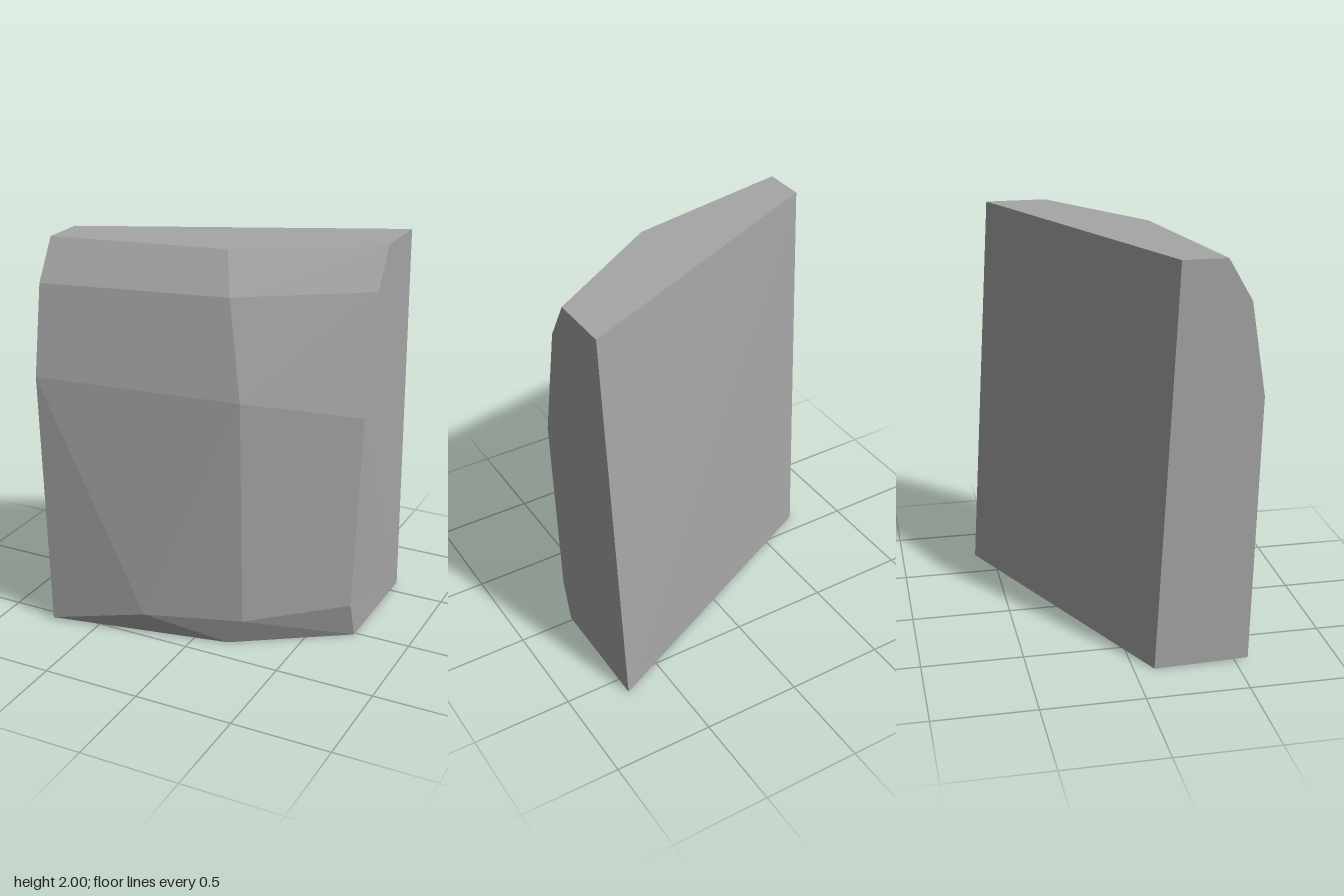
import * as THREE from 'three';

// Corners, listed from right (-x) to left (+x) along each course of the front
const P = {
  top0: [-0.745, 2, 0.41], top1: [0.11, 2, 0.245], top2: [0.745, 2, -0.165],
  upper0: [-0.745, 1.8, 0.525], upper1: [0.165, 1.8, 0.335], upper2: [0.745, 1.8, -0.05],
  mid0: [-0.745, 1.35, 0.597], mid1: [0.245, 1.31, 0.39], mid2: [0.745, 1.21, 0.068],
  low0: [-0.738, 0.012, 0.565], low1: [-0.23, 0.13, 0.51], low2: [0.26, 0.15, 0.385], low3: [0.712, 0.2, 0.08],
  foot1: [0.17, 0, 0.37], foot2: [0.712, 0, 0.015],
  backTop0: [-0.745, 2, 0.197], backTop2: [0.745, 2, -0.475],
  backFoot0: [-0.738, 0, 0.1], backFoot2: [0.715, 0, -0.598],
};

// Each panel is a list of polygons, counter-clockwise from outside
const PANELS = {
  topBevel: ['upper0 upper1 top1 top0', 'upper1 upper2 top2 top1'],
  upperFront: ['mid0 mid1 upper1 upper0', 'mid1 mid2 upper2 upper1'],
  lowerFront: ['low0 low1 mid0', 'low1 mid1 mid0', 'low1 low2 mid1', 'low2 low3 mid2 mid1'],
  footBevel: ['low0 foot1 low1', 'low1 foot1 low2', 'foot1 foot2 low2', 'low2 foot2 low3'],
  top: ['top0 top1 top2 backTop2 backTop0'],
  leftSide: ['backFoot2 backTop2 top2 upper2 mid2 low3 foot2'],
  rightSide: ['backFoot0 low0 mid0 upper0 top0 backTop0'],
  back: ['backFoot2 backFoot0 backTop0 backTop2'],
  underside: ['backFoot0 backFoot2 foot2 foot1 low0'],
};

// Fan each polygon into triangles with their own flat normals
function panelGeometry(polygons) {
  const positions = [];
  for (const polygon of polygons) {
    const c = polygon.split(' ').map((name) => P[name]);
    for (let i = 1; i < c.length - 1; i++) positions.push(...c[0], ...c[i], ...c[i + 1]);
  }
  const geometry = new THREE.BufferGeometry();
  geometry.setAttribute('position', new THREE.Float32BufferAttribute(positions, 3));
  geometry.computeVertexNormals();
  return geometry;
}

export function createModel() {
  const stone = new THREE.MeshStandardMaterial({ color: 0xa6a6a6 });
  stone.name = 'stone grey';
  const group = new THREE.Group();
  group.name = 'stoneBlock';
  for (const [name, polygons] of Object.entries(PANELS)) {
    const mesh = new THREE.Mesh(panelGeometry(polygons), stone);
    mesh.name = name;
    group.add(mesh);
  }
  return group;
}
